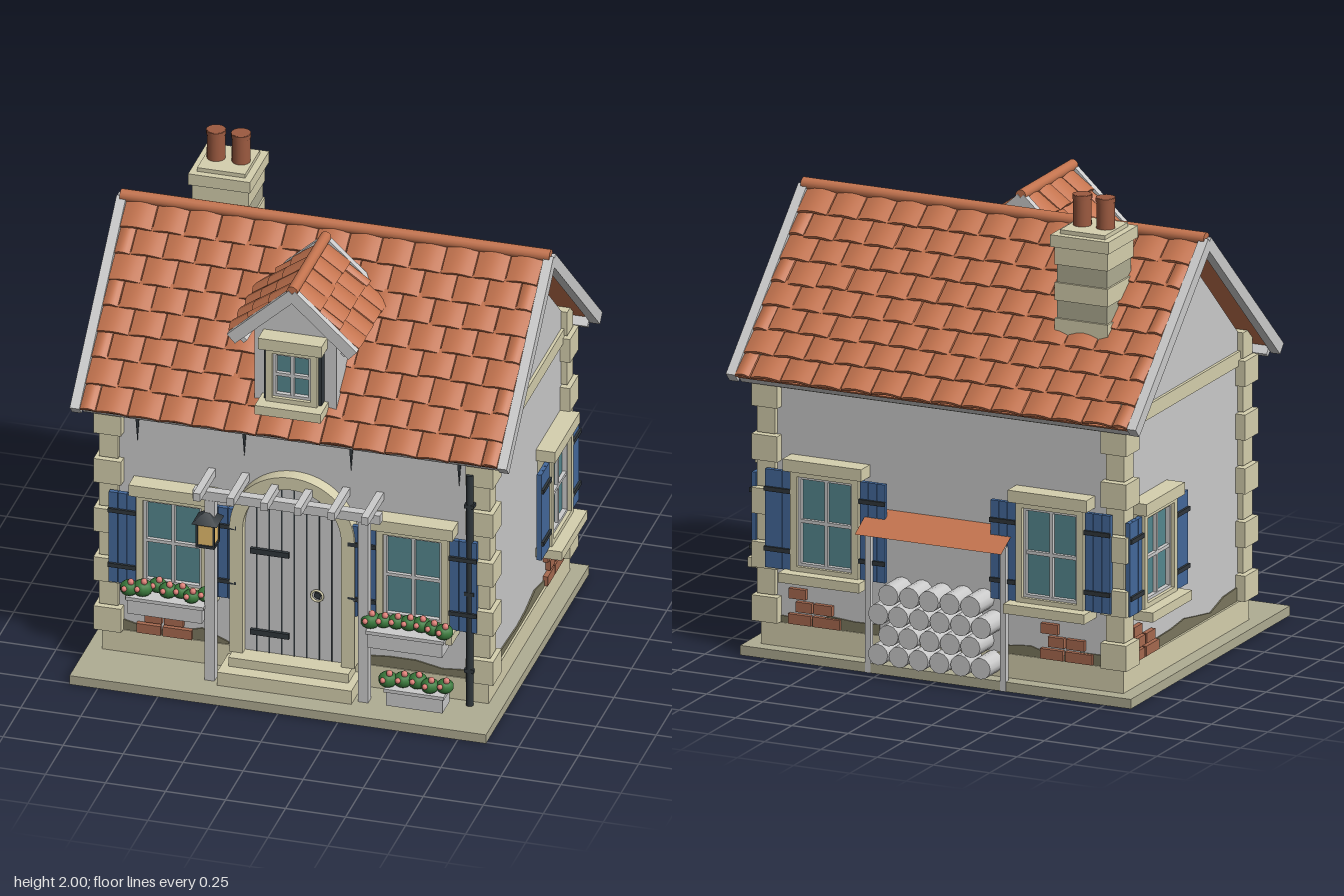
import * as THREE from 'three';
import { mergeGeometries } from 'three/addons/utils/BufferGeometryUtils.js';

const GREY = 0xcccccc, CREAM = 0xd6d0ae, STONE = 0xb0ad93, TILE = 0xc4744f, BLUE = 0x44699c,
  GLASS = 0x55888f, DARK = 0x30373c, OLIVE = 0x7c785f, BRICK = 0xa86a50, GREEN = 0x3a7a3c, PINK = 0xe08078;

const mats = {};
const mat = (color) => (mats[color] ??= new THREE.MeshStandardMaterial({ color, side: THREE.DoubleSide }));

let seed = 7;
const rnd = () => (seed = (seed * 16807) % 2147483647) / 2147483647;

function add(parent, name, geo, color, x = 0, y = 0, z = 0) {
  const m = new THREE.Mesh(geo, mat(color));
  m.name = name;
  m.position.set(x, y, z);
  parent.add(m);
  return m;
}
const box = (p, name, color, w, h, d, x, y, z) => add(p, name, new THREE.BoxGeometry(w, h, d), color, x, y, z);
function group(parent, name, x = 0, y = 0, z = 0, ry = 0) {
  const g = new THREE.Group();
  g.name = name;
  g.position.set(x, y, z);
  g.rotation.y = ry;
  parent.add(g);
  return g;
}
const polygon = (pts) => new THREE.Shape(pts.map((p) => new THREE.Vector2(...p)));
const extrude = (shape, depth) => new THREE.ExtrudeGeometry(shape, { depth, bevelEnabled: false, curveSegments: 20 });

// Slightly arched roof tile with its lower edge lifted
function tileGeometry(w, len) {
  const g = new THREE.BoxGeometry(w - 0.004, 0.014, len, 4, 1, 1);
  const p = g.attributes.position;
  for (let i = 0; i < p.count; i++) p.setY(i, p.getY(i) + 0.014 * Math.cos((Math.PI * p.getX(i)) / w));
  g.computeVertexNormals();
  return g.rotateX(-0.13);
}

// One roof side: ridge at the origin, running down towards local +z
function roofSide(parent, angle, width, len, rows, cols, ry, barge) {
  const g = group(group(parent, 'roofSide', 0, 0, 0, ry), 'roofPitch');
  g.rotation.x = angle;
  box(g, 'roofDeck', TILE, width, 0.012, len, 0, 0, len / 2);
  const tw = width / cols, th = len / rows, tiles = [];
  for (let r = 0; r < rows; r++) {
    const shift = r % 2 ? tw / 2 : 0;
    for (let c = 0; c <= cols; c++) {
      const a = Math.max(-width / 2, -width / 2 + c * tw - shift);
      const b = Math.min(width / 2, -width / 2 + (c + 1) * tw - shift);
      if (b - a < 0.02) continue;
      tiles.push(tileGeometry(b - a, th * 1.12).translate((a + b) / 2, 0.014 + rnd() * 0.005, (r + 0.5) * th + rnd() * 0.008));
    }
  }
  add(g, 'roofTiles', mergeGeometries(tiles), TILE);
  for (const s of [-1, 1]) box(g, 'bargeboard', GREY, barge, 0.05, len + 0.02, s * (width / 2 + barge / 2), 0.005, len / 2);
  box(g, 'eaveBoard', GREY, width, 0.045, 0.02, 0, -0.022, len - 0.015);
}

// Window standing on a wall that faces local +z; y = 0 is the sill
function windowUnit(parent, x, y, w, h, shutters) {
  const g = group(parent, 'window', x, y, 0);
  const frame = polygon([[-w / 2, 0], [w / 2, 0], [w / 2, h], [-w / 2, h]]);
  const t = 0.028;
  frame.holes.push(polygon([[-w / 2 + t, t], [-w / 2 + t, h - t], [w / 2 - t, h - t], [w / 2 - t, t]]));
  add(g, 'windowFrame', extrude(frame, 0.06), CREAM);
  box(g, 'glass', GLASS, w - 2 * t, h - 2 * t, 0.01, 0, h / 2, 0.02);
  box(g, 'mullion', GREY, 0.014, h - 2 * t, 0.016, 0, h / 2, 0.035);
  box(g, 'glazingBar', GREY, w - 2 * t, 0.014, 0.016, 0, h / 2, 0.035);
  for (const s of [-1, 1]) {
    box(g, 'sashSide', GREY, 0.012, h - 2 * t, 0.02, s * (w / 2 - t - 0.006), h / 2, 0.035);
    box(g, 'sashRail', GREY, w - 2 * t, 0.012, 0.02, 0, h / 2 + s * (h / 2 - t - 0.006), 0.035);
  }
  box(g, 'lintel', CREAM, w + 0.05, 0.05, 0.08, 0, h + 0.02, 0.04);
  box(g, 'sill', CREAM, w + 0.06, 0.04, 0.11, 0, -0.012, 0.055);
  if (!shutters) return;
  for (const s of [-1, 1]) {
    const sh = group(g, 'shutter', s * (w / 2 + 0.06), h / 2 - 0.005, 0.04);
    for (let i = -1; i <= 1; i++) box(sh, 'shutterPlank', BLUE, 0.036, h - 0.02, 0.02, i * 0.038, 0, 0);
    for (const v of [-1, 1]) box(sh, 'shutterStrap', DARK, 0.116, 0.018, 0.012, 0, v * h * 0.29, 0.014);
  }
}

// Trough with bushes and blossoms
function planter(parent, x, y, z, w) {
  const g = group(parent, 'planter', x, y, z);
  box(g, 'planterBox', GREY, w, 0.075, 0.1, 0, 0.037, 0);
  box(g, 'planterRim', GREY, w + 0.015, 0.015, 0.115, 0, 0.07, 0);
  const n = Math.round(w / 0.045);
  for (let i = 0; i < n; i++) {
    const px = (i / (n - 1) - 0.5) * w, pz = (rnd() - 0.5) * 0.06, r = 0.034 + rnd() * 0.009;
    const leaf = add(g, 'bush', new THREE.SphereGeometry(r, 10, 7), GREEN, px, 0.105, pz);
    leaf.scale.y = 0.85;
    add(g, 'blossom', new THREE.SphereGeometry(0.014, 8, 6), PINK, px + 0.01, 0.105 + r * 0.85, pz + 0.012);
    add(g, 'blossom', new THREE.SphereGeometry(0.012, 8, 6), PINK, px - 0.012, 0.115, pz + r * 0.9);
  }
}

// Ragged strip of bare masonry along the foot of a wall
function barePatch(parent, x0, x1) {
  const pts = [[x0, 0.13], [x1, 0.13]];
  const n = Math.max(3, Math.round((x1 - x0) / 0.12));
  for (let i = n; i >= 0; i--) pts.push([x0 + ((x1 - x0) * i) / n, 0.15 + rnd() * 0.05]);
  add(parent, 'bareStone', extrude(polygon(pts), 0.006), OLIVE);
}
function bricks(parent, x) {
  for (const [bx, row, w] of [[-0.07, 0, 0.1], [0.05, 0, 0.12], [-0.05, 1, 0.07], [0.035, 1, 0.08], [-0.08, 2, 0.075]])
    box(parent, 'exposedBrick', BRICK, w, 0.042, 0.024, x + bx, 0.163 + row * 0.053, 0.008);
}
function arch(r, base, spring) {
  const s = new THREE.Shape();
  s.moveTo(-r, base);
  s.lineTo(r, base);
  s.lineTo(r, spring);
  s.absarc(0, spring, r, 0, Math.PI, false);
  s.lineTo(-r, base);
  return s;
}

export function createModel() {
  const house = new THREE.Group();
  house.name = 'cottage';
  const ZC = -0.065, HX = 0.79, HZ = 0.565;

  // Ground, walls, plinth and belt course
  box(house, 'groundSlab', STONE, 1.735, 0.04, 1.46, 0, 0.02, 0.03);
  const body = extrude(polygon([[-HZ, 0.04], [HZ, 0.04], [HZ, 1.2], [0, 1.735], [-HZ, 1.2]]), 2 * HX);
  add(house, 'walls', body.rotateY(Math.PI / 2), GREY, -HX, 0, ZC);
  box(house, 'plinth', CREAM, 1.61, 0.1, 1.15, 0, 0.09, ZC);
  box(house, 'beltCourse', CREAM, 1.605, 0.06, 1.155, 0, 1.15, ZC);

  // Corner stones
  for (const sx of [-1, 1]) for (const sz of [-1, 1]) for (let i = 0; i < 10; i++) {
    const big = i % 2 === 0, a = big ? 0.115 : 0.08;
    box(house, 'cornerStone', CREAM, a, 0.107, a + 0.005, sx * 0.775, 0.195 + i * 0.112, ZC + sz * 0.545);
  }

  // Windows and wall details, one group for each wall
  const front = group(house, 'frontWall', 0, 0, ZC + HZ);
  const back = group(house, 'backWall', 0, 0, ZC - HZ, Math.PI);
  for (const w of [front, back]) {
    for (const s of [-1, 1]) windowUnit(w, s * 0.5, 0.37, 0.3, 0.43, true);
    barePatch(w, -0.72, -0.28);
    barePatch(w, 0.28, 0.72);
    bricks(w, w === front ? -0.54 : 0.56);
  }
  bricks(back, -0.56);
  for (const s of [-1, 1]) {
    const side = group(house, 'sideWall', s * HX, 0, 0, (s * Math.PI) / 2);
    windowUnit(side, s * 0.385, 0.36, 0.3, 0.41, true);
    barePatch(side, s > 0 ? -0.42 : -0.54, s > 0 ? 0.54 : 0.42);
    bricks(side, s * 0.43);
  }
  for (const x of [-0.66, -0.215, 0.23, 0.68])
    add(front, 'plasterCrack', extrude(polygon([[-0.008, 1.12], [0, 1.01], [0.008, 1.12]]), 0.006), DARK, x);

  // Door with arched surround, ironwork and steps
  const surround = arch(0.26, 0.14, 0.71);
  surround.holes.push(arch(0.205, 0.14, 0.71));
  add(front, 'doorSurround', extrude(surround, 0.06), CREAM);
  add(front, 'door', extrude(arch(0.205, 0.14, 0.71), 0.025), GREY);
  for (let i = -3; i <= 3; i++) {
    const x = i * 0.052, top = 0.71 + Math.sqrt(0.2 ** 2 - x * x);
    box(front, 'plankGroove', DARK, 0.005, top - 0.14, 0.004, x, (top + 0.14) / 2, 0.026);
  }
  for (const y of [0.23, 0.6]) box(front, 'doorHinge', DARK, 0.16, 0.024, 0.014, -0.1, y, 0.032);
  add(front, 'doorPlate', new THREE.CylinderGeometry(0.014, 0.014, 0.02, 12).rotateX(Math.PI / 2), DARK, 0.1, 0.44, 0.034);
  add(front, 'doorRing', new THREE.TorusGeometry(0.024, 0.005, 8, 20), CREAM, 0.1, 0.44, 0.044);
  box(front, 'lowerStep', CREAM, 0.56, 0.06, 0.17, 0, 0.07, 0.085);
  box(front, 'upperStep', CREAM, 0.5, 0.04, 0.11, 0, 0.12, 0.055);

  // Pergola and hanging lantern
  for (const s of [-1, 1]) box(house, 'pergolaPost', GREY, 0.042, 0.82, 0.042, s * 0.32, 0.45, 0.62);
  box(house, 'pergolaBeam', GREY, 0.78, 0.04, 0.04, 0, 0.88, 0.62);
  for (let i = 0; i < 6; i++) box(house, 'pergolaRafter', GREY, 0.03, 0.035, 0.22, -0.35 + i * 0.14, 0.913, 0.61);
  const lantern = group(house, 'lantern', -0.33, 0, 0.62);
  box(lantern, 'lanternGlass', 0xe6bd6e, 0.068, 0.1, 0.068, 0, 0.715, 0.01);
  box(lantern, 'lanternBase', DARK, 0.08, 0.012, 0.08, 0, 0.662, 0.01);
  for (const sx of [-1, 1]) for (const sz of [-1, 1])
    box(lantern, 'lanternBar', DARK, 0.008, 0.1, 0.008, sx * 0.035, 0.715, 0.01 + sz * 0.035);
  add(lantern, 'lanternRoof', new THREE.ConeGeometry(0.075, 0.05, 4).rotateY(Math.PI / 4), DARK, 0, 0.79, 0.01);
  box(lantern, 'lanternHook', DARK, 0.008, 0.06, 0.008, 0, 0.84, 0.01);

  // Planters and drainpipe
  for (const s of [-1, 1]) planter(house, s * 0.5, 0.305, 0.61, 0.31);
  planter(house, 0.54, 0.055, 0.615, 0.235);
  add(house, 'drainpipe', new THREE.CylinderGeometry(0.015, 0.015, 1.05, 12), DARK, 0.735, 0.565, 0.54);
  for (const y of [0.2, 0.55, 0.95]) box(house, 'pipeBracket', DARK, 0.04, 0.016, 0.04, 0.735, y, 0.535);

  // Main roof
  const roof = group(house, 'mainRoof', 0, 1.77, ZC);
  for (const ry of [0, Math.PI]) roofSide(roof, 0.75, 1.74, 0.89, 8, 13, ry, 0.04);
  add(roof, 'ridgeTile', new THREE.CylinderGeometry(0.026, 0.026, 1.79, 14).rotateZ(Math.PI / 2), TILE, 0, 0.024, 0);

  // Dormer
  const dormer = group(house, 'dormer');
  add(dormer, 'dormerWalls', extrude(polygon([[-0.17, 1.27], [0.17, 1.27], [0.17, 1.6], [0, 1.76], [-0.17, 1.6]]), 0.4), GREY, 0, 0, 0.11);
  const dormerRoof = group(dormer, 'dormerRoof', 0, 1.795, 0.32);
  for (const s of [-1, 1]) roofSide(dormerRoof, 0.744, 0.43, 0.33, 3, 4, (s * Math.PI) / 2, 0.028);
  add(dormerRoof, 'dormerRidge', new THREE.CylinderGeometry(0.023, 0.023, 0.48, 14).rotateX(Math.PI / 2), TILE, 0, 0.025, 0);
  const dormerFace = group(dormer, 'dormerFace', 0, 0, 0.51);
  windowUnit(dormerFace, 0, 1.305, 0.215, 0.255, false);
  for (const s of [-1, 1]) box(dormerFace, 'dormerTrim', DARK, 0.012, 0.24, 0.04, s * 0.114, 1.43, 0.02);

  // Chimney
  const chimney = group(house, 'chimney', -0.527, 0, -0.335);
  for (let i = 0; i < 6; i++) {
    const w = i % 2 ? 0.235 : 0.22;
    box(chimney, 'chimneyCourse', i % 2 ? CREAM : STONE, w, 0.074, w, 0, 1.393 + i * 0.0745, 0);
  }
  box(chimney, 'chimneyCap', CREAM, 0.258, 0.05, 0.27, 0, 1.83, 0);
  box(chimney, 'chimneyTop', CREAM, 0.2, 0.018, 0.21, 0, 1.863, 0);
  for (const s of [-1, 1]) {
    add(chimney, 'chimneyPot', new THREE.CylinderGeometry(0.037, 0.038, 0.13, 18), 0x9c5a40, s * 0.052, 1.935, 0);
    add(chimney, 'potRim', new THREE.CylinderGeometry(0.04, 0.04, 0.018, 18), 0x9c5a40, s * 0.052, 1.99, 0);
  }

  // Wood store at the back
  const store = group(house, 'woodStore');
  for (const s of [-1, 1]) box(store, 'storePost', GREY, 0.025, 0.6, 0.025, s * 0.3, 0.3, -0.69);
  const sheet = add(store, 'storeRoof', new THREE.PlaneGeometry(0.65, 0.16).rotateX(-Math.PI / 2), TILE, 0, 0.63, -0.7);
  sheet.rotation.x = -0.5;
  const log = new THREE.CylinderGeometry(0.044, 0.044, 0.13, 12).rotateX(Math.PI / 2);
  for (let r = 0; r < 4; r++) for (let i = 0; i < 6 - (r % 2); i++)
    add(store, 'log', log, GREY, -0.228 + i * 0.091 + (r % 2) * 0.0455, 0.1 + r * 0.084, -0.695 + (rnd() - 0.5) * 0.01);

  return house;
}
